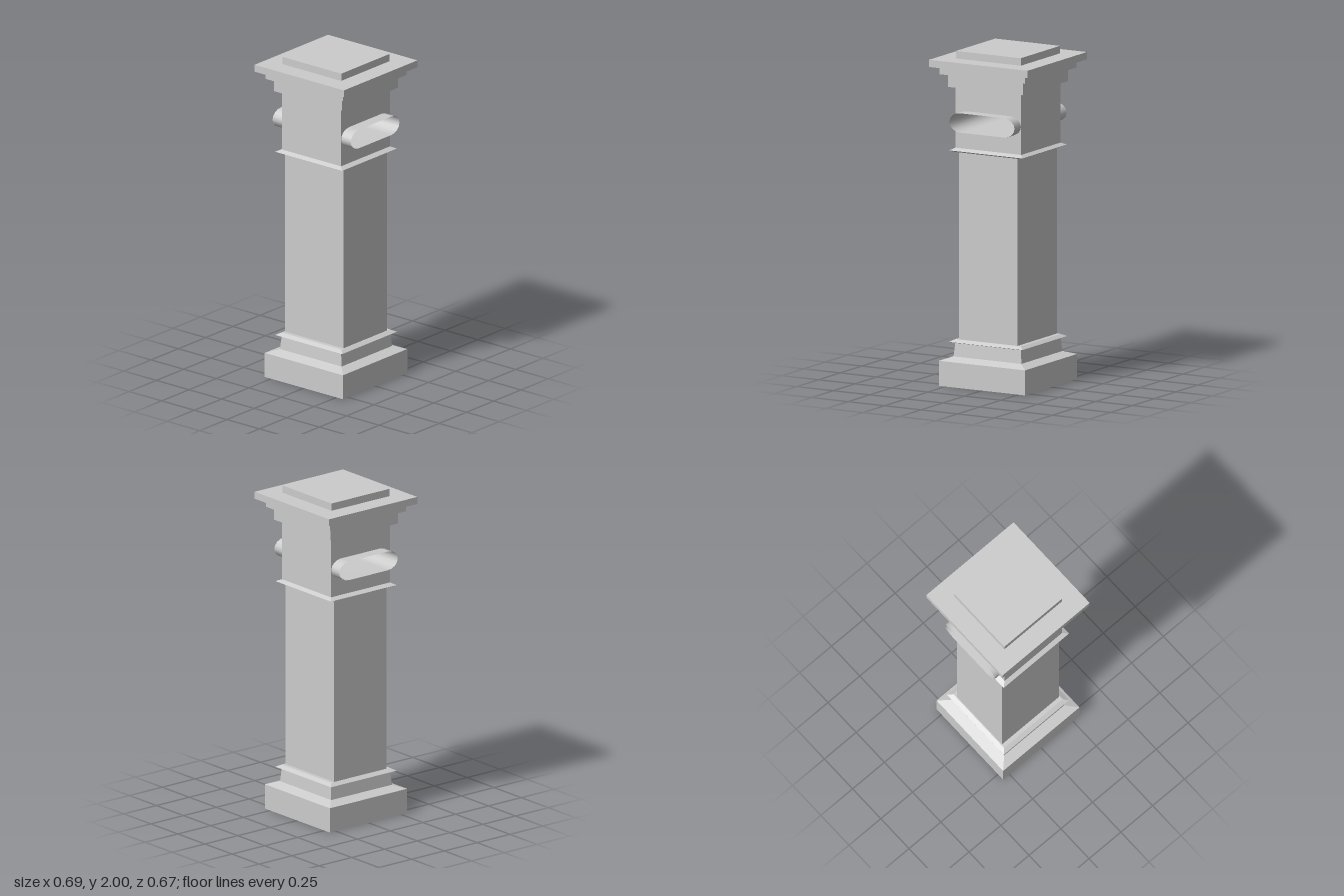
import * as THREE from 'three';

const smooth = new THREE.MeshStandardMaterial({ color: 0xcccccc, side: THREE.DoubleSide });
const flat = new THREE.MeshStandardMaterial({ color: 0xcccccc, side: THREE.DoubleSide, flatShading: true });

// Skin a series of closed rings, each an array of Vector3 with equal length
function loft(rings) {
  const n = rings[0].length;
  const index = [];
  for (let r = 0; r < rings.length - 1; r++) {
    for (let i = 0; i < n; i++) {
      const a = r * n + i, b = r * n + (i + 1) % n;
      index.push(a, b, b + n, a, b + n, a + n);
    }
  }
  const geometry = new THREE.BufferGeometry().setFromPoints(rings.flat());
  geometry.setIndex(index);
  geometry.computeVertexNormals();
  return geometry;
}

// Rectangular shell from [half width, height, half depth] steps
function rectShell(steps) {
  return loft(steps.map(([x, y, z]) => [
    new THREE.Vector3(x, y, z), new THREE.Vector3(x, y, -z),
    new THREE.Vector3(-x, y, -z), new THREE.Vector3(-x, y, z),
  ]));
}

// Long slot with elliptical ends, drawn in the side plane
function slotPoints(halfLength, halfHeight, endLength, y) {
  const points = [];
  const steps = 8;
  for (const side of [1, -1]) {
    for (let i = 0; i <= steps; i++) {
      const t = -Math.PI / 2 + Math.PI * i / steps;
      points.push(new THREE.Vector2(
        side * (halfLength - endLength + endLength * Math.cos(t)),
        y + side * halfHeight * Math.sin(t)));
    }
  }
  return points;
}

export function createModel() {
  const group = new THREE.Group();
  const add = (name, geometry, material = flat) => {
    const mesh = new THREE.Mesh(geometry, material);
    mesh.name = name;
    group.add(mesh);
    return mesh;
  };

  // Hollow base, open at the bottom, with a sloped shoulder and neck
  add('base', rectShell([
    [0.3, 0, 0.295], [0.3, 0.15, 0.295], [0.236, 0.172, 0.232], [0.228, 0.252, 0.225],
  ]));

  // Sharp collars below and above the shaft
  add('lowerCollar', rectShell([
    [0.228, 0.252, 0.225], [0.257, 0.26, 0.251], [0.23, 0.275, 0.225], [0.225, 0.275, 0.2],
  ]));
  add('shaft', rectShell([[0.225, 0.275, 0.2], [0.225, 1.397, 0.2]]));
  add('upperCollar', rectShell([
    [0.225, 1.397, 0.2], [0.235, 1.397, 0.23], [0.257, 1.407, 0.251], [0.226, 1.421, 0.225],
  ]));

  // Upper block: plain front and back, slotted sides
  const hx = 0.226, hz = 0.225, low = 1.421, high = 1.79;
  const slot = slotPoints(0.223, 0.058, 0.075, 1.588);
  const sideShape = new THREE.Shape([
    new THREE.Vector2(-hz, low), new THREE.Vector2(hz, low),
    new THREE.Vector2(hz, high), new THREE.Vector2(-hz, high),
  ]);
  sideShape.holes.push(new THREE.Path(slot));
  for (const s of [1, -1]) {
    const side = add(s > 0 ? 'blockLeft' : 'blockRight', new THREE.ShapeGeometry(sideShape));
    side.rotation.y = s * Math.PI / 2;
    side.position.x = s * hx;

    const face = add(s > 0 ? 'blockFront' : 'blockBack', new THREE.PlaneGeometry(2 * hx, high - low));
    face.rotation.y = s > 0 ? 0 : Math.PI;
    face.position.set(0, (low + high) / 2, s * hz);
  }

  // Thin sleeve running through the block and out of both sides
  add('sleeve', loft([-0.3, 0.3].map(x => slot.map(p => new THREE.Vector3(x, p.y, -p.x)))), smooth);

  // Stepped capital, widest near the top
  const layers = [
    ['capLower', 0.26, 0.257, 1.787, 1.865],
    ['capMiddle', 0.296, 0.291, 1.865, 1.912],
    ['capSlab', 0.343, 0.337, 1.912, 1.955],
    ['capTop', 0.226, 0.222, 1.955, 2],
  ];
  for (const [name, x, z, y0, y1] of layers) {
    add(name, new THREE.BoxGeometry(2 * x, y1 - y0, 2 * z)).position.y = (y0 + y1) / 2;
  }

  return group;
}
